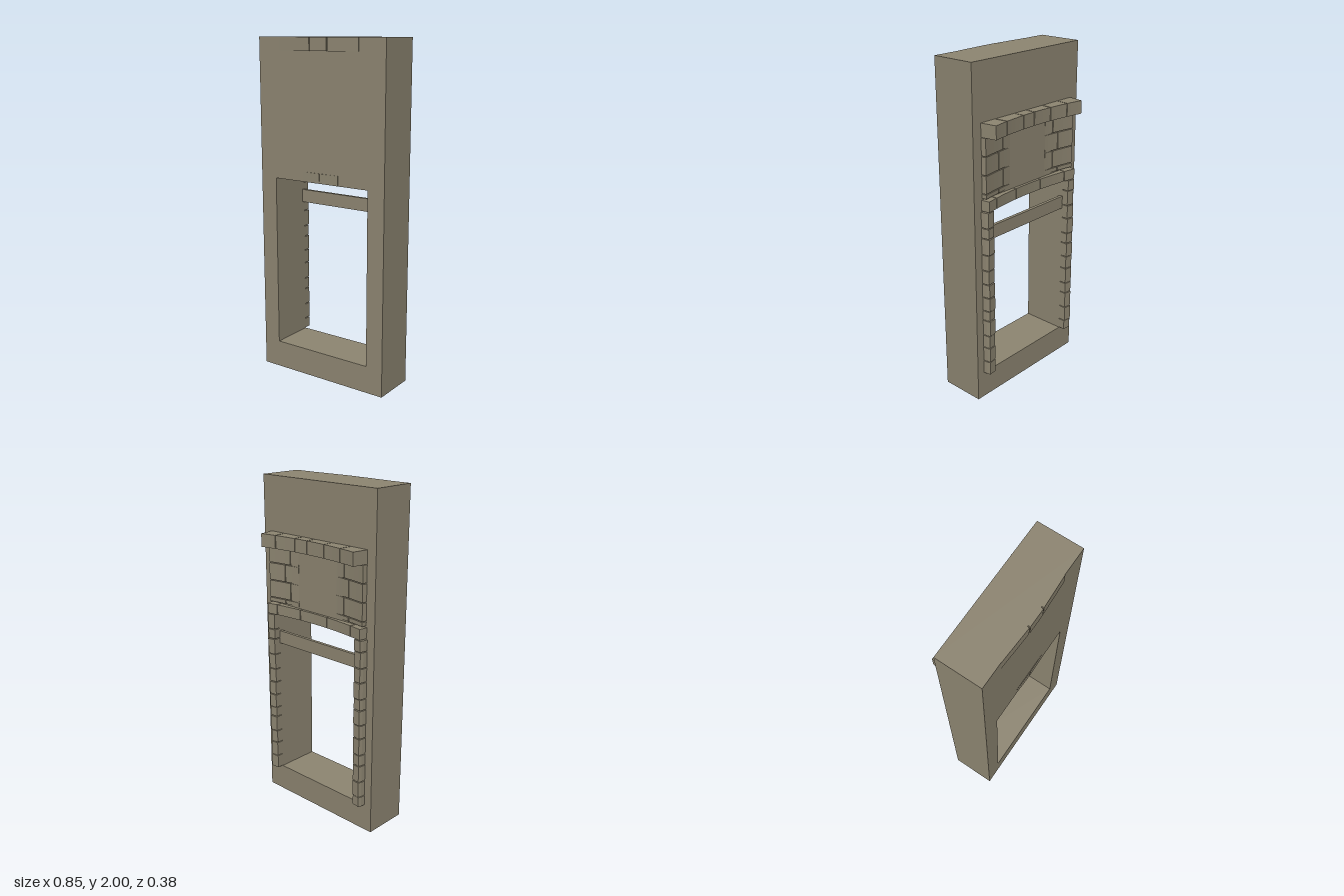
import * as THREE from 'three';

const BACK = -0.095, FRONT = 0.173;

export function createModel() {
  const model = new THREE.Group();
  const stone = new THREE.MeshStandardMaterial({ color: 0x8e8672 });
  stone.name = 'weathered stone';

  function add(geometry, name, parent = model) {
    const mesh = new THREE.Mesh(geometry, stone);
    mesh.name = name;
    parent.add(mesh);
    return mesh;
  }
  function group(name) {
    const g = new THREE.Group();
    g.name = name;
    model.add(g);
    return g;
  }
  // Prism with an (x, z) outline, standing from y0 to y1
  function prism(outline, y0, y1) {
    const shape = new THREE.Shape(outline.map(([x, z]) => new THREE.Vector2(x, -z)));
    const geo = new THREE.ExtrudeGeometry(shape, { depth: y1 - y0, bevelEnabled: false });
    return geo.rotateX(-Math.PI / 2).translate(0, y0, 0);
  }
  // Stone on the back wall whose face follows a shallow concave curve
  function curvedStone(x0, x1, y0, y1, zMid, name, parent) {
    const outline = [[x0, BACK + 0.01], [x1, BACK + 0.01]];
    const steps = 4;
    for (let i = steps; i >= 0; i--) {
      const x = x0 + (x1 - x0) * i / steps;
      const z = zMid - 0.25 * x * x;
      outline.push([x * (1 + 0.45 * (z - BACK)), z]);
    }
    add(prism(outline, y0, y1), name, parent);
  }
  let seed = 7;
  const random = () => (seed = (seed * 16807) % 2147483647) / 2147483647;

  // Wall slab with the window opening
  const slab = new THREE.Shape();
  slab.moveTo(-0.427, 0).lineTo(0.427, 0).lineTo(0.427, 2).lineTo(-0.427, 2).closePath();
  const hole = new THREE.Path();
  hole.moveTo(-0.32, 0.163).lineTo(-0.32, 1.19).lineTo(0.32, 1.19).lineTo(0.32, 0.163).closePath();
  slab.holes.push(hole);
  add(new THREE.ExtrudeGeometry(slab, { depth: FRONT - BACK, bevelEnabled: false })
    .translate(0, 0, BACK), 'wallSlab');

  // Bar across the opening
  add(new THREE.BoxGeometry(0.64, 0.078, 0.02).translate(0, 1.041, BACK + 0.01), 'crossbar');

  // Cornice and lintel stones on the back
  const gap = 0.0025;
  const cornice = group('cornice');
  const cuts = [-0.372, -0.253, -0.118, 0.018, 0.113, 0.262, 0.372];
  for (let i = 0; i < cuts.length - 1; i++)
    curvedStone(cuts[i] + gap, cuts[i + 1] - gap, 1.603, 1.68, -0.157, 'corniceStone', cornice);
  const lintel = group('lintel');
  const lintelCuts = [-0.376, -0.29, -0.09, 0.12, 0.3, 0.376];
  for (let i = 0; i < lintelCuts.length - 1; i++)
    curvedStone(lintelCuts[i] + gap, lintelCuts[i + 1] - gap, 1.193, 1.255, -0.111, 'lintelStone', lintel);

  // Stones that emerge from the wall between lintel and cornice
  const panel = group('curvedMasonry');
  const rows = [1.262, 1.29, 1.395, 1.5, 1.603];
  for (let r = 0; r < rows.length - 1; r++) {
    const joint = r % 2 ? 0.21 : 0.25;
    for (const side of [-1, 1])
      for (const [a, b] of [[0.145, joint], [joint, 0.371]]) {
        const ends = [side * (a + gap), side * (b - gap)].sort((p, q) => p - q);
        curvedStone(...ends, rows[r] + gap, rows[r + 1] - gap, -0.0905, 'masonryStone', panel);
      }
  }

  // Jamb stones of uneven height on both sides of the opening
  for (const side of [-1, 1]) {
    const jamb = group(side > 0 ? 'leftJamb' : 'rightJamb');
    const count = 12, step = (1.19 - 0.163) / count;
    let y = 0.163;
    for (let i = 0; i < count; i++) {
      const top = i === count - 1 ? 1.19 : 0.163 + (i + 1) * step + (random() - 0.5) * 0.04;
      const dz = (random() - 0.5) * 0.006;
      const outline = [[0.32, BACK + 0.01], [0.378, BACK + 0.01], [0.374, -0.122],
        [0.368, -0.142 + dz], [0.32, -0.136 + dz]].map(([x, z]) => [side * x, z]);
      add(prism(outline, y + gap, top - gap), 'jambStone', jamb);
      y = top;
    }
  }

  // Shallow stones breaking through the front face
  const crown = group('frontCrownStones');
  for (const [x0, x1, z0, z1] of [[-0.278, -0.062, 0.174, 0.185], [-0.056, 0.054, 0.186, 0.186], [0.06, 0.258, 0.185, 0.175]])
    add(prism([[x0, FRONT - 0.01], [x0, z0], [x1, z1], [x1, FRONT - 0.01]], 1.925, 2), 'crownStone', crown);
  const frontLintel = group('frontLintelStones');
  for (const [x0, x1, z0, z1] of [[-0.123, -0.002, 0.1735, 0.177], [0.002, 0.123, 0.177, 0.1735]])
    add(prism([[x0, FRONT - 0.01], [x0, z0], [x1, z1], [x1, FRONT - 0.01]], 1.192, 1.248), 'frontLintelStone', frontLintel);

  return model;
}
